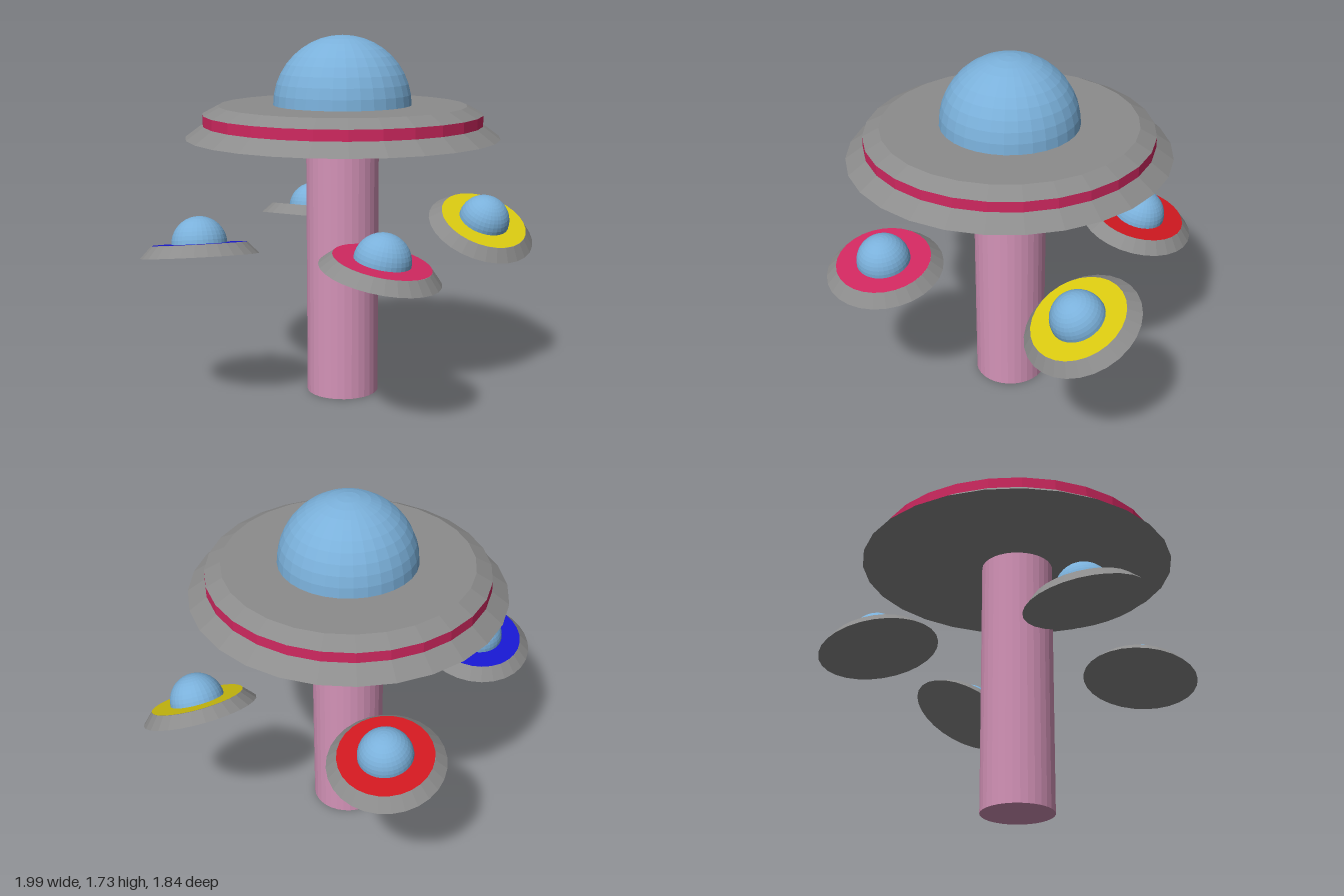
import * as THREE from 'three';

const mat = (color) => new THREE.MeshStandardMaterial({ color, flatShading: true });
const GREY = mat(0x8c8c8c), GLASS = mat(0x7ab0da), PINK = mat(0xd493b8), MAGENTA = mat(0xd02860);
const STRETCH = 1.028; // discs are slightly longer in z than in x

function add(parent, name, geometry, material, y) {
  const mesh = new THREE.Mesh(geometry, material);
  mesh.name = name;
  mesh.position.y = y;
  parent.add(mesh);
  return mesh;
}

// Tapered disc standing on y
function disc(parent, name, rTop, rBottom, height, material, y, open = false) {
  const g = new THREE.CylinderGeometry(rTop, rBottom, height, 28, 1, open);
  g.scale(1, 1, STRETCH);
  return add(parent, name, g, material, y + height / 2);
}

// Half sphere standing on y
function dome(parent, name, radius, y) {
  const g = new THREE.SphereGeometry(radius, 32, 10, 0, Math.PI * 2, 0, Math.PI / 2);
  return add(parent, name, g, GLASS, y);
}

// Small tilted saucer; normal is the direction its dome points
function smallSaucer(name, color, position, normal) {
  const s = new THREE.Group();
  s.name = name;
  disc(s, 'hull', 0.22, 0.272, 0.054, GREY, 0);
  const deck = new THREE.CircleGeometry(0.22, 28);
  deck.rotateX(-Math.PI / 2).rotateY(Math.PI / 2).scale(1, 1, STRETCH);
  add(s, 'deck', deck, mat(color), 0.0555);
  dome(s, 'cockpit', 0.128, 0.054);
  s.position.set(...position);
  const n = new THREE.Vector3(...normal).normalize();
  s.quaternion.setFromUnitVectors(new THREE.Vector3(0, 1, 0), n);
  return s;
}

export function createModel() {
  const model = new THREE.Group();
  model.name = 'saucerRide';

  // Central column and large saucer
  const tower = new THREE.Group();
  tower.name = 'tower';
  tower.position.set(-0.023, 0, 0.02);
  add(tower, 'column', new THREE.CylinderGeometry(0.173, 0.173, 1.27, 32), PINK, 0.635);
  disc(tower, 'lowerRim', 0.66, 0.742, 0.06, GREY, 1.25);
  disc(tower, 'band', 0.66, 0.66, 0.05, MAGENTA, 1.31, true);
  disc(tower, 'upperRim', 0.585, 0.66, 0.04, GREY, 1.36);
  dome(tower, 'mainDome', 0.327, 1.398);
  model.add(tower);

  // Four small saucers circling the column
  model.add(
    smallSaucer('frontSaucer', 0xd02860, [-0.018, 0.728, 0.645], [0.15, 1, 0.13]),
    smallSaucer('backSaucer', 0xd01820, [-0.018, 0.736, -0.645], [0.14, 1, -0.167]),
    smallSaucer('leftSaucer', 0xd8c810, [0.722, 0.745, -0.07], [0.14, 1, 0.5]),
    smallSaucer('rightSaucer', 0x1818d0, [-0.728, 0.735, 0.135], [0, 1, -0.2]),
  );
  return model;
}
